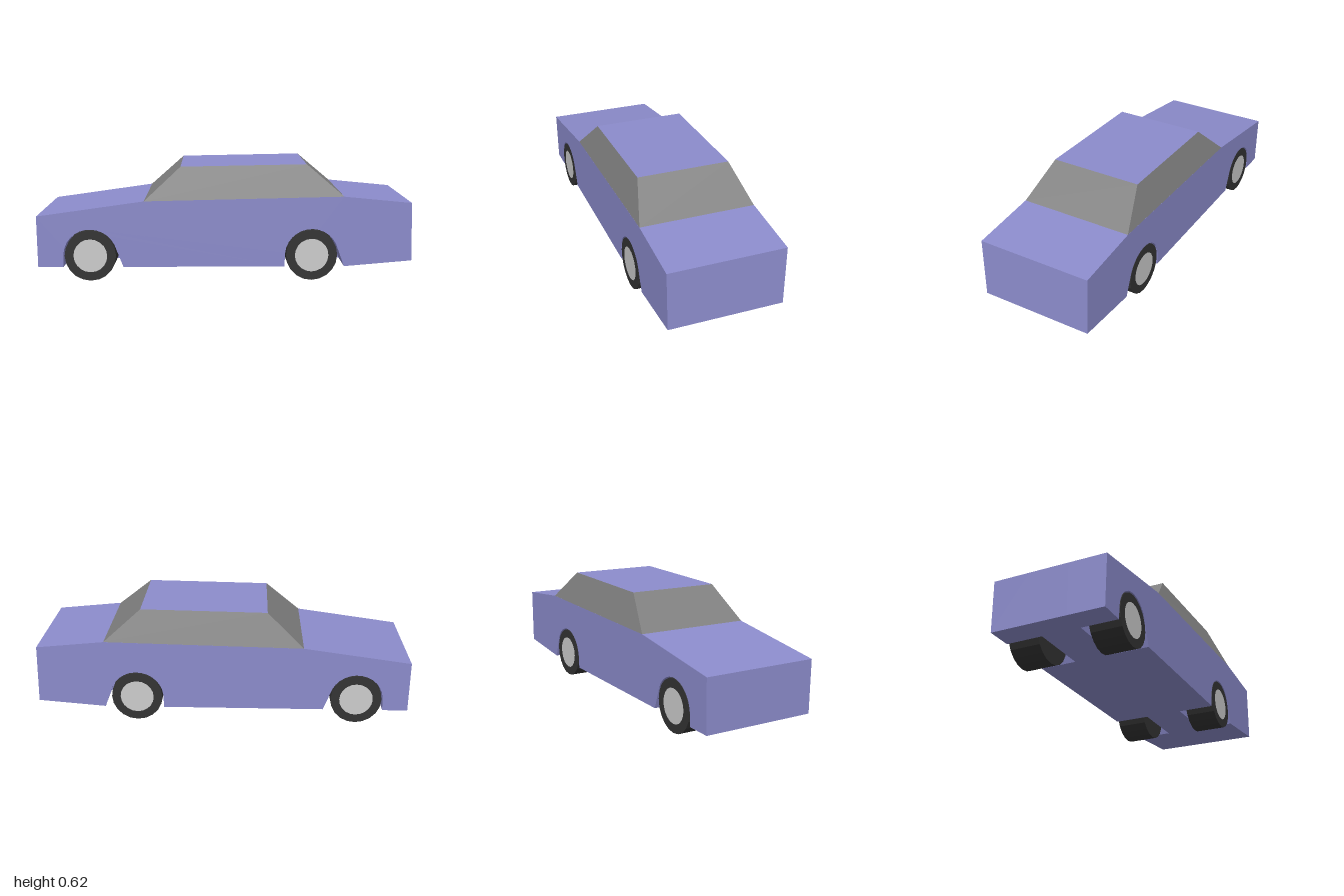
import * as THREE from 'three';

const paint = new THREE.MeshStandardMaterial({ color: 0x8c8ccc, flatShading: true });
const glass = new THREE.MeshStandardMaterial({ color: 0x808080, flatShading: true });
const rubber = new THREE.MeshStandardMaterial({ color: 0x333333, flatShading: true });
const hubGrey = new THREE.MeshStandardMaterial({ color: 0xcccccc, flatShading: true });

const AXLES = [-0.72, 0.463];
const WHEEL_R = 0.137;
const FLOOR = 0.075;
const WELL_Z = 0.105; // inner wall of the wheel wells
const SIDE_Z = 0.305;

function addMesh(parent, name, geometry, material) {
  const mesh = new THREE.Mesh(geometry, material);
  mesh.name = name;
  parent.add(mesh);
  return mesh;
}

// Side outline of the lower body, with or without wheel arches
function bodyShape(withArches) {
  const pts = [[-1, FLOOR]];
  for (const cx of AXLES) {
    pts.push([cx - 0.145, FLOOR]);
    if (withArches) {
      for (let i = 0; i <= 12; i++) {
        const a = THREE.MathUtils.degToRad(175 - i * 12.5);
        pts.push([cx + 0.143 * Math.cos(a), WHEEL_R + 0.143 * Math.sin(a)]);
      }
    }
    pts.push([cx + 0.175, FLOOR]);
  }
  pts.push([1, 0.106], [0.99, 0.42], [0.63, 0.455], [-0.43, 0.432], [-1, 0.352]);
  return new THREE.Shape(pts.map(([x, y]) => new THREE.Vector2(x, y)));
}

function bodySlab(withArches, z0, z1) {
  const g = new THREE.ExtrudeGeometry(bodyShape(withArches), { depth: z1 - z0, bevelEnabled: false });
  g.translate(0, 0, z0);
  // The flanks lean out slightly towards the window line
  const p = g.attributes.position;
  for (let i = 0; i < p.count; i++) {
    const z = p.getZ(i);
    if (Math.abs(z) > 0.2) p.setZ(i, Math.sign(z) * (0.3025 + (p.getY(i) - FLOOR) * 0.0155));
  }
  g.computeVertexNormals();
  return g;
}

// Flat four-sided panels, corners counter-clockwise from outside
function panels(quads) {
  const pos = [];
  for (const [a, b, c, d] of quads) pos.push(...a, ...b, ...c, ...a, ...c, ...d);
  const g = new THREE.BufferGeometry();
  g.setAttribute('position', new THREE.Float32BufferAttribute(pos, 3));
  g.computeVertexNormals();
  return g;
}

export function createModel() {
  const car = new THREE.Group();
  car.name = 'car';

  // Lower body: solid middle and two flanks with open wheel wells
  const body = new THREE.Group();
  body.name = 'body';
  car.add(body);
  addMesh(body, 'bodyCentre', bodySlab(false, -WELL_Z, WELL_Z), paint);
  addMesh(body, 'leftFlank', bodySlab(true, WELL_Z, SIDE_Z), paint);
  addMesh(body, 'rightFlank', bodySlab(true, -SIDE_Z, -WELL_Z), paint);

  // Cabin: window ring and roof
  const ring = (z0, z1) => [
    [-0.43, 0.432, z0], [0.63, 0.455, z0], [0.435, 0.62, z1], [-0.237, 0.608, z1],
  ];
  const [a, b, c, d] = ring(0.308, 0.248);
  const [e, f, g, h] = ring(-0.308, -0.248);
  addMesh(car, 'windows', panels([
    [a, b, c, d], [f, e, h, g], [b, f, g, c], [e, a, d, h],
  ]), glass);
  addMesh(car, 'roof', panels([[d, c, g, h]]), paint);

  // Wheels with hubs on the outer face
  const tyreGeo = new THREE.CylinderGeometry(WHEEL_R, WHEEL_R, 0.165, 20);
  tyreGeo.rotateX(Math.PI / 2);
  const hubGeo = new THREE.CircleGeometry(0.09, 20);
  AXLES.forEach((x, i) => {
    for (const side of [1, -1]) {
      const wheel = new THREE.Group();
      wheel.name = (i ? 'rear' : 'front') + (side > 0 ? 'NearWheel' : 'FarWheel');
      wheel.position.set(x, WHEEL_R, side * 0.2205);
      if (side < 0) wheel.rotation.y = Math.PI;
      addMesh(wheel, 'tyre', tyreGeo, rubber);
      addMesh(wheel, 'hub', hubGeo, hubGrey).position.z = 0.084;
      car.add(wheel);
    }
  });

  return car;
}
